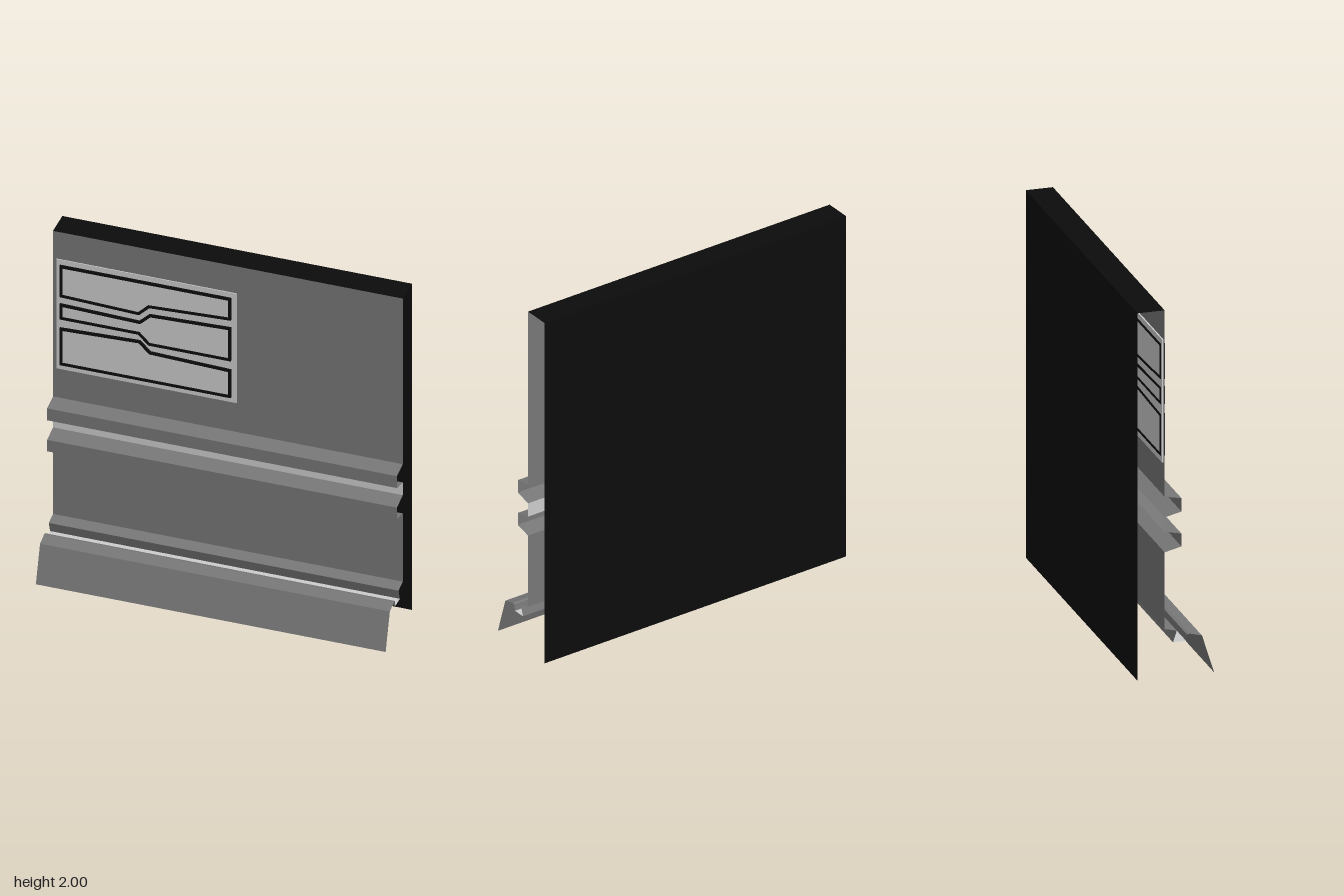
import * as THREE from 'three';

const HALF = 0.945; // half the wall length along x

const paint = (color) => new THREE.MeshStandardMaterial({ color, side: THREE.DoubleSide });
const wallGrey = paint(0x777777);
const lightGrey = paint(0xcccccc);
const black = paint(0x0c0c0c);

// Sweeps an open [z, y] profile along x as flat, crisp-edged strips
function sheet(name, profile, material) {
  const pos = [];
  for (let i = 0; i + 1 < profile.length; i++) {
    const [z0, y0] = profile[i];
    const [z1, y1] = profile[i + 1];
    const a = [-HALF, y0, z0], b = [-HALF, y1, z1];
    const c = [HALF, y1, z1], d = [HALF, y0, z0];
    pos.push(...a, ...b, ...c, ...a, ...c, ...d);
  }
  const geo = new THREE.BufferGeometry();
  geo.setAttribute('position', new THREE.Float32BufferAttribute(pos, 3));
  geo.computeVertexNormals();
  const mesh = new THREE.Mesh(geo, material);
  mesh.name = name;
  return mesh;
}

// Mitred inset of a clockwise polygon
function inset(points, w) {
  const n = points.length;
  const normal = (p, q) => new THREE.Vector2(q.y - p.y, p.x - q.x).normalize();
  return points.map((p, i) => {
    const n0 = normal(points[(i + n - 1) % n], p);
    const n1 = normal(p, points[(i + 1) % n]);
    return n0.clone().add(n1).multiplyScalar(w / (1 + n0.dot(n1))).add(p);
  });
}

function slab(name, shape, z0, z1, material) {
  const geo = new THREE.ExtrudeGeometry(shape, { depth: z1 - z0, bevelEnabled: false });
  const mesh = new THREE.Mesh(geo, material);
  mesh.position.z = z0;
  mesh.name = name;
  return mesh;
}

// A light pane surrounded by a raised black outline
function pane(name, coords) {
  const outer = coords.map(([x, y]) => new THREE.Vector2(x, y));
  const inner = inset(outer, 0.015);
  const frame = new THREE.Shape(outer);
  frame.holes.push(new THREE.Path(inner));
  const group = new THREE.Group();
  group.name = name;
  group.add(slab('outline', frame, -0.07, -0.045, black));
  group.add(slab('paneFace', new THREE.Shape(inner), -0.069, -0.05, lightGrey));
  return group;
}

export function createModel() {
  const model = new THREE.Group();
  model.name = 'wallSection';

  // Back and top of the wall, open at both ends
  model.add(sheet('backAndTop', [[-0.205, 0], [-0.205, 2], [-0.06, 2]], black));

  // Front face with two horizontal rails and a light band between them
  model.add(sheet('upperWallAndRail',
    [[-0.06, 2], [-0.06, 0.985], [0.03, 0.968], [0.03, 0.895], [-0.06, 0.873]], wallGrey));
  model.add(sheet('lightBand', [[-0.06, 0.873], [-0.06, 0.795]], lightGrey));
  model.add(sheet('lowerRailAndWall',
    [[-0.06, 0.795], [0.03, 0.775], [0.03, 0.705], [-0.06, 0.683], [-0.06, 0.265],
      [0.005, 0.25], [-0.015, 0.188]], wallGrey));

  // Gutter and flared skirt at the foot
  model.add(sheet('gutterFloor', [[-0.015, 0.188], [0.055, 0.188]], lightGrey));
  model.add(sheet('skirt',
    [[0.055, 0.188], [0.06, 0.222], [0.075, 0.226], [0.14, 0.208], [0.205, 0]], wallGrey));

  // Panel let into the upper wall
  const panel = new THREE.Group();
  panel.name = 'panel';
  const backing = new THREE.Mesh(new THREE.BoxGeometry(0.975, 0.67, 0.013), lightGrey);
  backing.position.set(-0.4375, 1.5, -0.0615);
  backing.name = 'backing';
  panel.add(backing);
  panel.add(pane('upperPane', [[-0.905, 1.805], [0.02, 1.805], [0.02, 1.67],
    [-0.42, 1.65], [-0.475, 1.595], [-0.905, 1.612]]));
  panel.add(pane('middlePane', [[-0.905, 1.57], [-0.475, 1.557], [-0.42, 1.61], [0.02, 1.625],
    [0.02, 1.42], [-0.425, 1.42], [-0.48, 1.475], [-0.905, 1.475]]));
  panel.add(pane('lowerPane', [[-0.905, 1.422], [-0.47, 1.438], [-0.415, 1.382],
    [0.02, 1.367], [0.02, 1.195], [-0.905, 1.195]]));
  model.add(panel);

  return model;
}
